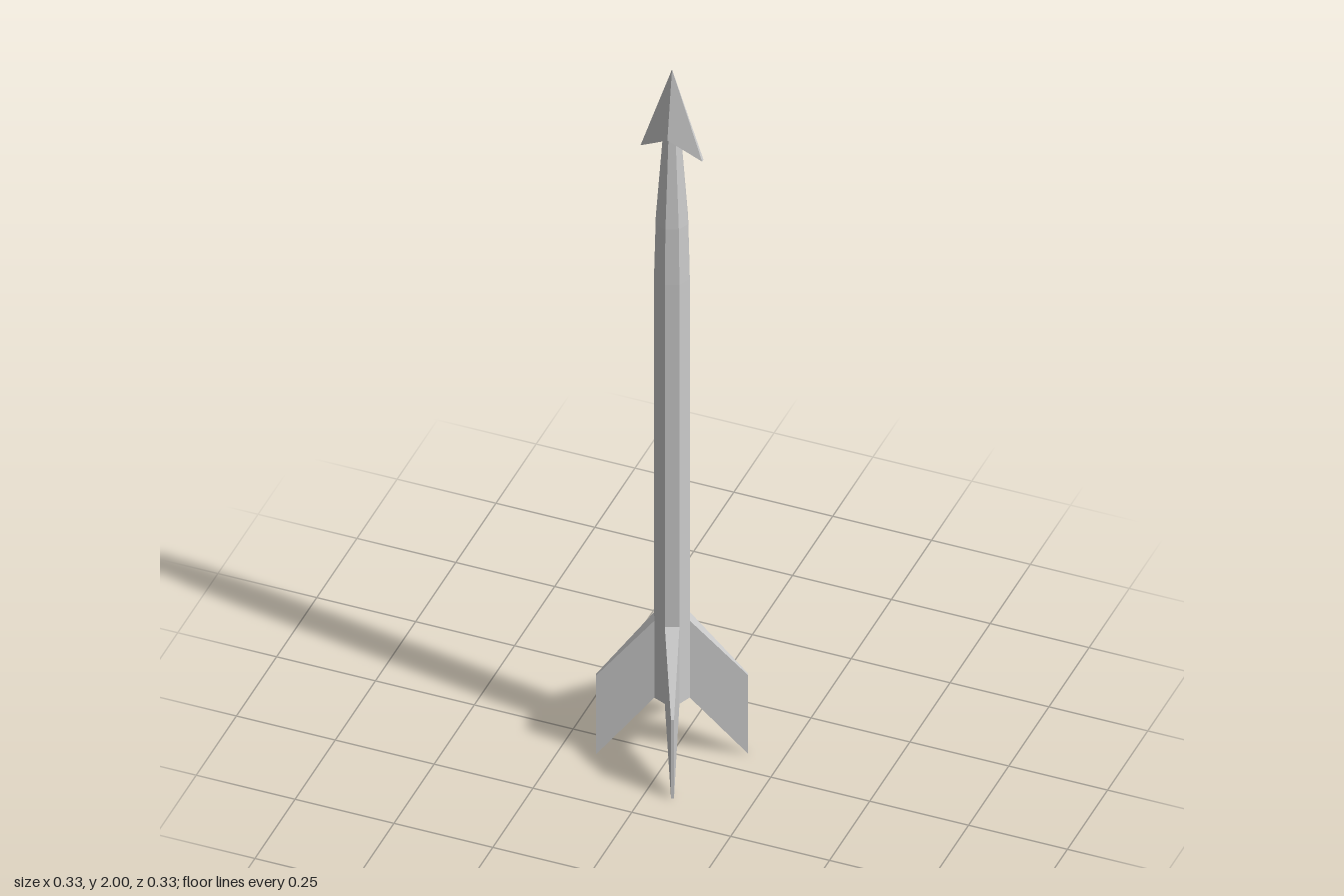
import * as THREE from 'three';

const R = 0.045; // shaft radius
const SIDES = 8;

const material = new THREE.MeshStandardMaterial({ color: 0xcccccc, flatShading: true });

function addMesh(parent, name, geometry) {
  const mesh = new THREE.Mesh(geometry, material);
  mesh.name = name;
  parent.add(mesh);
  return mesh;
}

// Octagonal shaft, tapering towards the head, closed at both ends
function shaftGeometry() {
  const profile = [[0, 0.175], [R, 0.175], [R, 1.4], [0.041, 1.56], [0.022, 1.815], [0, 1.815]];
  return new THREE.LatheGeometry(profile.map(([r, y]) => new THREE.Vector2(r, y)), SIDES);
}

// Swept fin: as wide as one shaft facet at the root, thin at the tip
function finGeometry() {
  const half = Math.PI / SIDES;
  const root = { r: R * Math.cos(half), w: R * Math.sin(half), top: 0.4, bottom: 0.175 };
  const tip = { r: 0.178, w: 0.0035, top: 0.23, bottom: 0 };
  const geometry = new THREE.BoxGeometry(1, 1, 1);
  const p = geometry.attributes.position;
  for (let i = 0; i < p.count; i++) {
    const end = p.getZ(i) > 0 ? tip : root;
    p.setXYZ(i, Math.sign(p.getX(i)) * end.w, p.getY(i) > 0 ? end.top : end.bottom, end.r);
  }
  geometry.computeVertexNormals();
  return geometry;
}

// Barbed head: a ridge front and back, two swept barbs, notched underside
function headGeometry() {
  const A = [0, 2, 0], F = [0, 1.81, 0.027], B = [0, 1.81, -0.027];
  const barb = (sx, sz) => [sx * 0.079, 1.757, sz * 0.004];
  const R1 = barb(1, 1), R2 = barb(1, -1), L1 = barb(-1, 1), L2 = barb(-1, -1);
  const triangles = [
    A, L1, F, A, F, R1, // front
    A, R2, B, A, B, L2, // back
    A, R1, R2, A, L2, L1, // barb edges
    F, B, R2, F, R2, R1, F, L1, L2, F, L2, B, // underside
  ];
  const geometry = new THREE.BufferGeometry();
  geometry.setAttribute('position', new THREE.Float32BufferAttribute(triangles.flat(), 3));
  geometry.computeVertexNormals();
  return geometry;
}

export function createModel() {
  const model = new THREE.Group();
  model.name = 'barbedDart';

  addMesh(model, 'shaft', shaftGeometry());
  addMesh(model, 'head', headGeometry()).rotation.y = -0.03;

  // Four fins, each centred on a shaft facet
  const fins = new THREE.Group();
  fins.name = 'fins';
  const fin = finGeometry();
  for (let i = 0; i < 4; i++) {
    addMesh(fins, `fin${i + 1}`, fin).rotation.y = Math.PI / SIDES + (i * Math.PI) / 2;
  }
  model.add(fins);

  return model;
}
